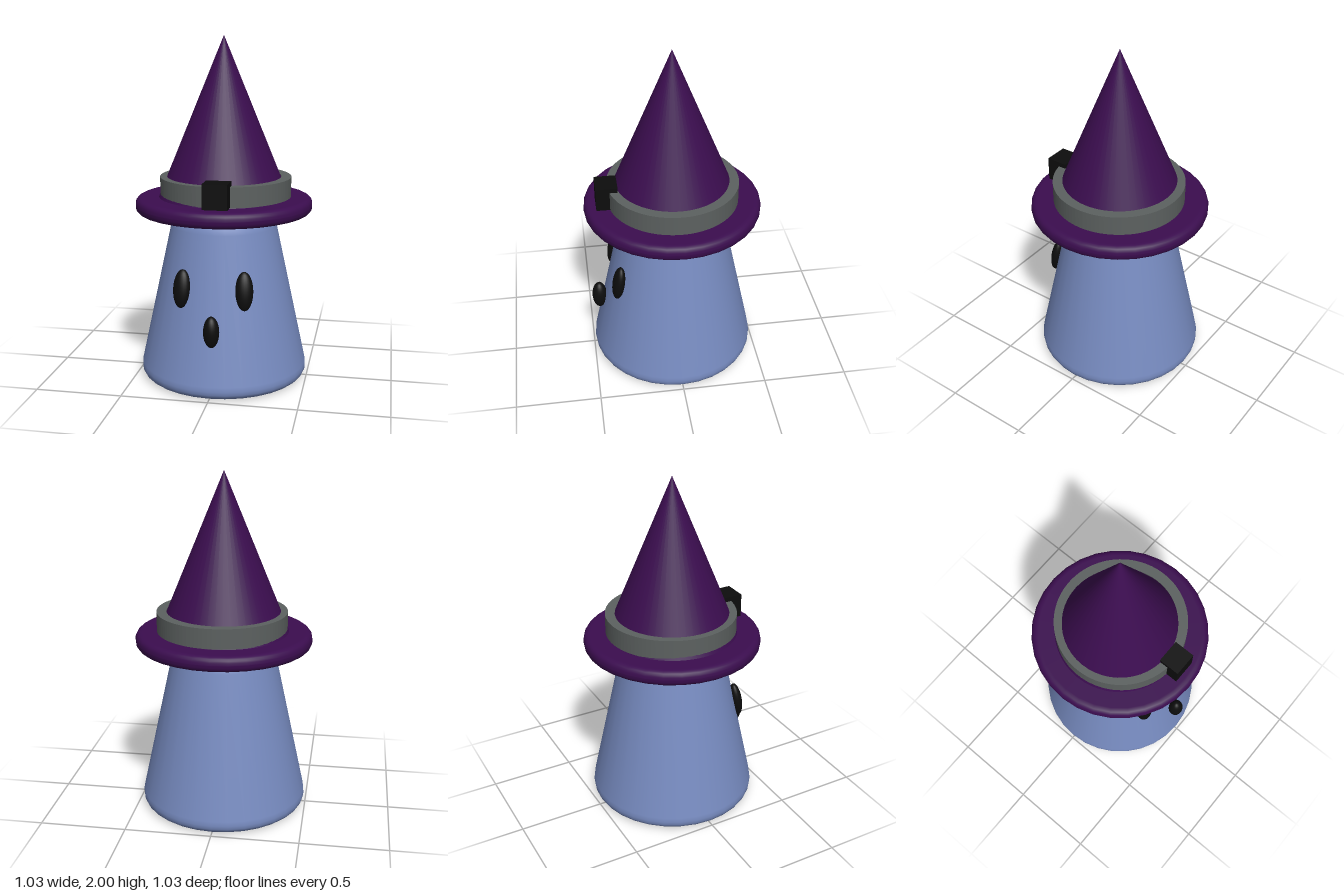
import * as THREE from 'three';

const mat = (name, color) => {
  const m = new THREE.MeshStandardMaterial({ color });
  m.name = name;
  return m;
};

// Turned profile: straight runs with rounded corners, given as [r, y, cornerRadius]
function roundedProfile(corners) {
  const pts = [];
  corners.forEach(([x, y, rad], i) => {
    const p = new THREE.Vector2(x, y);
    if (!rad) return pts.push(p);
    const toward = (j) => {
      const q = new THREE.Vector2(corners[j][0], corners[j][1]);
      return p.clone().add(q.sub(p).setLength(rad));
    };
    pts.push(...new THREE.QuadraticBezierCurve(toward(i - 1), p, toward(i + 1)).getPoints(6));
  });
  return pts;
}

export function createModel() {
  const group = new THREE.Group();
  const blue = mat('pale blue cloth', 0x778bc0);
  const purple = mat('dark purple felt', 0x3b0d4f);
  const grey = mat('grey band', 0x5c6160);
  const black = mat('black', 0x0d0d0d);

  const add = (name, geometry, material, x = 0, y = 0, z = 0) => {
    const mesh = new THREE.Mesh(geometry, material);
    mesh.name = name;
    mesh.position.set(x, y, z);
    group.add(mesh);
    return mesh;
  };
  const lathe = (corners) => new THREE.LatheGeometry(roundedProfile(corners), 32);

  // Tapered body with rounded hem and shoulders
  add('body', lathe([[0, 0.005, 0], [0.505, 0.005, 0.085], [0.29, 1.0, 0.09], [0, 1.0, 0]]), blue);

  // Hat: rounded brim disc and pointed cone
  add('hatBrim', lathe([[0, 0.99, 0], [0.515, 0.99, 0.044], [0.515, 1.08, 0.044], [0, 1.08, 0]]), purple);
  add('hatCone', new THREE.ConeGeometry(0.382, 0.93, 48), purple, 0, 1.535, 0);

  // Flat ring around the foot of the cone, sitting slightly off centre
  const ring = new THREE.Shape().absarc(0, 0, 0.38, 0, Math.PI * 2, false);
  ring.holes.push(new THREE.Path().absarc(0, 0, 0.322, 0, Math.PI * 2, true));
  const bandGeometry = new THREE.ExtrudeGeometry(ring, { depth: 0.115, bevelEnabled: false, curveSegments: 48 });
  bandGeometry.rotateX(-Math.PI / 2);
  add('hatBand', bandGeometry, grey, 0.01, 1.083, -0.002);

  // Square buckle on the front of the band
  add('buckle', new THREE.BoxGeometry(0.14, 0.14, 0.125), black, 0.03, 1.155, 0.383);

  // Oval eyes leaning back with the body, and a round open mouth
  const oval = (name, x, y, z, rx, ry, rz) => {
    const mesh = add(name, new THREE.SphereGeometry(1, 24, 16), black, x, y, z);
    mesh.scale.set(rx, ry, rz);
    return mesh;
  };
  for (const [name, side, y] of [['leftEye', 1, 0.61], ['rightEye', -1, 0.607]]) {
    const eye = oval(name, side * 0.178, y, 0.342, 0.05, 0.11, 0.036);
    eye.rotation.set(-0.17, side * 0.2, side * 0.04);
  }
  oval('mouth', 0.012, 0.4, 0.452, 0.045, 0.09, 0.044);

  return group;
}
